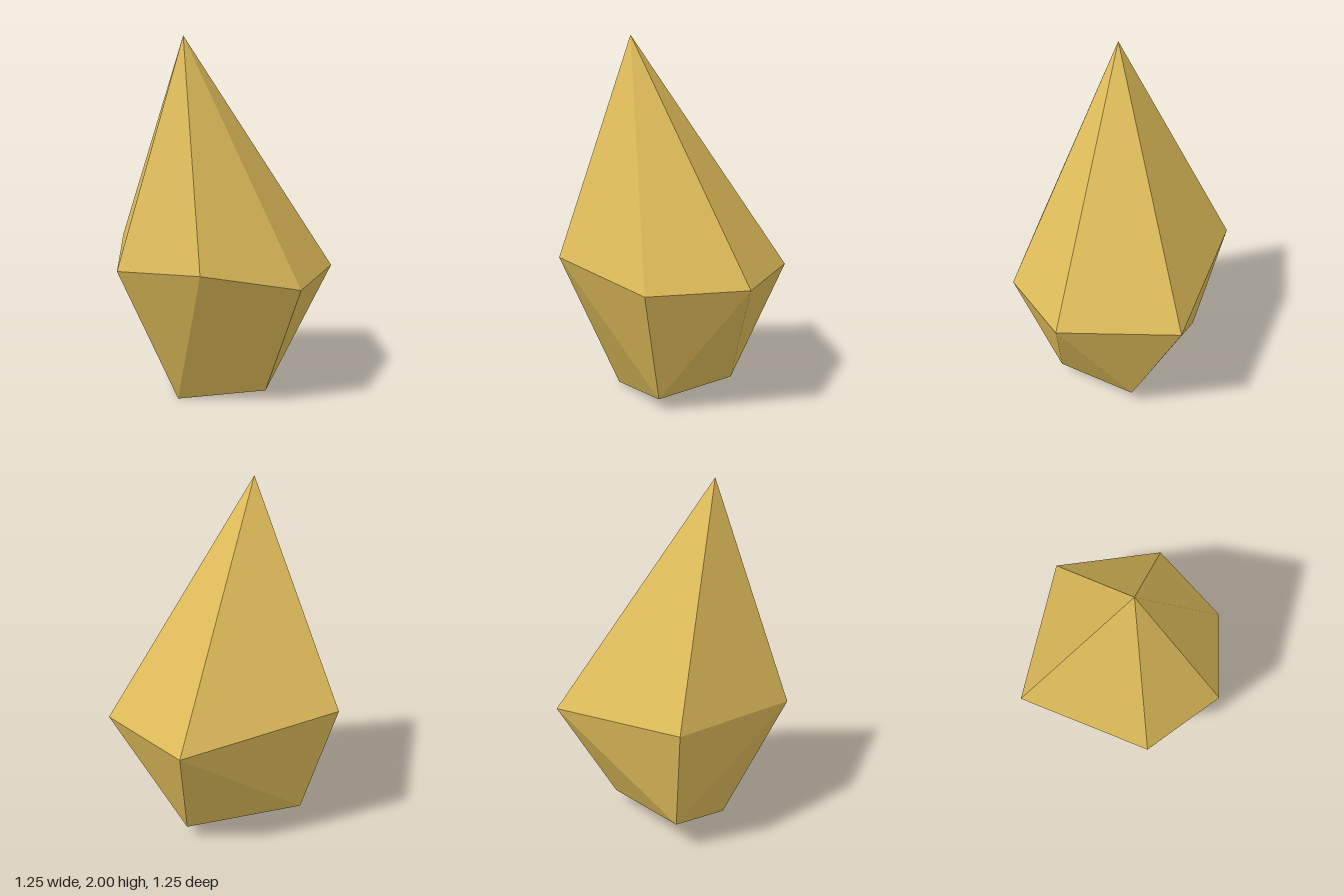
import * as THREE from 'three';
import { ConvexGeometry } from 'three/addons/geometries/ConvexGeometry.js';

export function createModel() {
  const gold = new THREE.MeshStandardMaterial({ color: 0xdfbc5a });
  gold.name = 'gold';

  // Corners of the faceted crystal: tip, wide girdle, small foot
  const tip = [[-0.195, 2, 0.02]];
  const girdle = [
    [-0.627, 0.79, 0.033], [-0.413, 0.83, 0.488], [0.132, 0.70, 0.622],
    [0.60, 0.71, 0.35], [0.624, 0.71, -0.303], [-0.218, 0.823, -0.626],
  ];
  const foot = [
    [-0.267, 0, 0.055], [0.108, 0.067, 0.37], [0.382, 0.083, -0.052], [-0.137, 0.185, -0.445],
  ];

  // Flat facets stretched over the corners
  const corners = [...tip, ...girdle, ...foot].map((p) => new THREE.Vector3(...p));
  const crystal = new THREE.Mesh(new ConvexGeometry(corners), gold);
  crystal.name = 'crystal';

  const group = new THREE.Group();
  group.name = 'facetedCrystal';
  group.add(crystal);
  return group;
}
